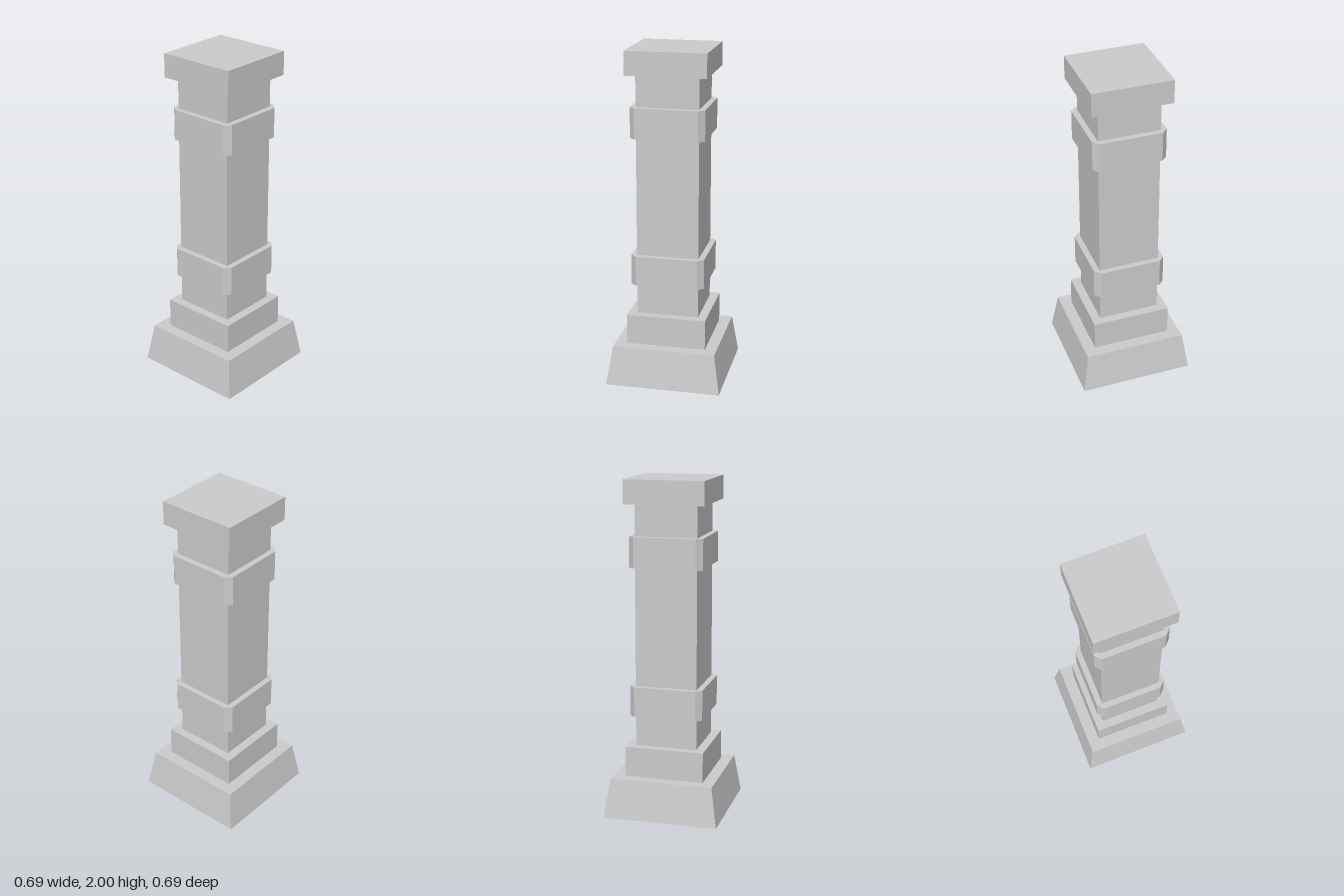
import * as THREE from 'three';

const material = new THREE.MeshStandardMaterial({ color: 0xcccccc, flatShading: true });

export function createModel() {
  const group = new THREE.Group();
  group.name = 'pillar';

  const add = (name, geometry, y) => {
    const mesh = new THREE.Mesh(geometry, material);
    mesh.name = name;
    mesh.position.y = y;
    group.add(mesh);
  };

  // Square block between two heights
  const block = (name, half, y0, y1) =>
    add(name, new THREE.BoxGeometry(half * 2, y1 - y0, half * 2), (y0 + y1) / 2);

  // Collar with chamfered corners
  const collar = (name, y0, y1) => {
    const outer = 0.22, inner = 0.185;
    const outline = new THREE.Shape([
      [inner, -outer], [outer, -inner], [outer, inner], [inner, outer],
      [-inner, outer], [-outer, inner], [-outer, -inner], [-inner, -outer],
    ].map(([x, z]) => new THREE.Vector2(x, z)));
    const geometry = new THREE.ExtrudeGeometry(outline, { depth: y1 - y0, bevelEnabled: false });
    geometry.rotateX(-Math.PI / 2);
    add(name, geometry, y0);
  };

  // Tapered foot: a box whose top is drawn in
  const footHeight = 0.236, footBottom = 0.345, footTop = 0.308;
  const foot = new THREE.BoxGeometry(footBottom * 2, footHeight, footBottom * 2);
  const p = foot.attributes.position;
  for (let i = 0; i < p.count; i++) {
    if (p.getY(i) > 0) {
      p.setX(i, Math.sign(p.getX(i)) * footTop);
      p.setZ(i, Math.sign(p.getZ(i)) * footTop);
    }
  }
  foot.computeVertexNormals();
  add('foot', foot, footHeight / 2);

  block('plinth', 0.238, 0.236, 0.417);
  block('shaft', 0.185, 0.417, 1.859);
  collar('lowerCollar', 0.602, 0.783);
  collar('upperCollar', 1.491, 1.672);
  block('cap', 0.238, 1.859, 2);

  return group;
}
